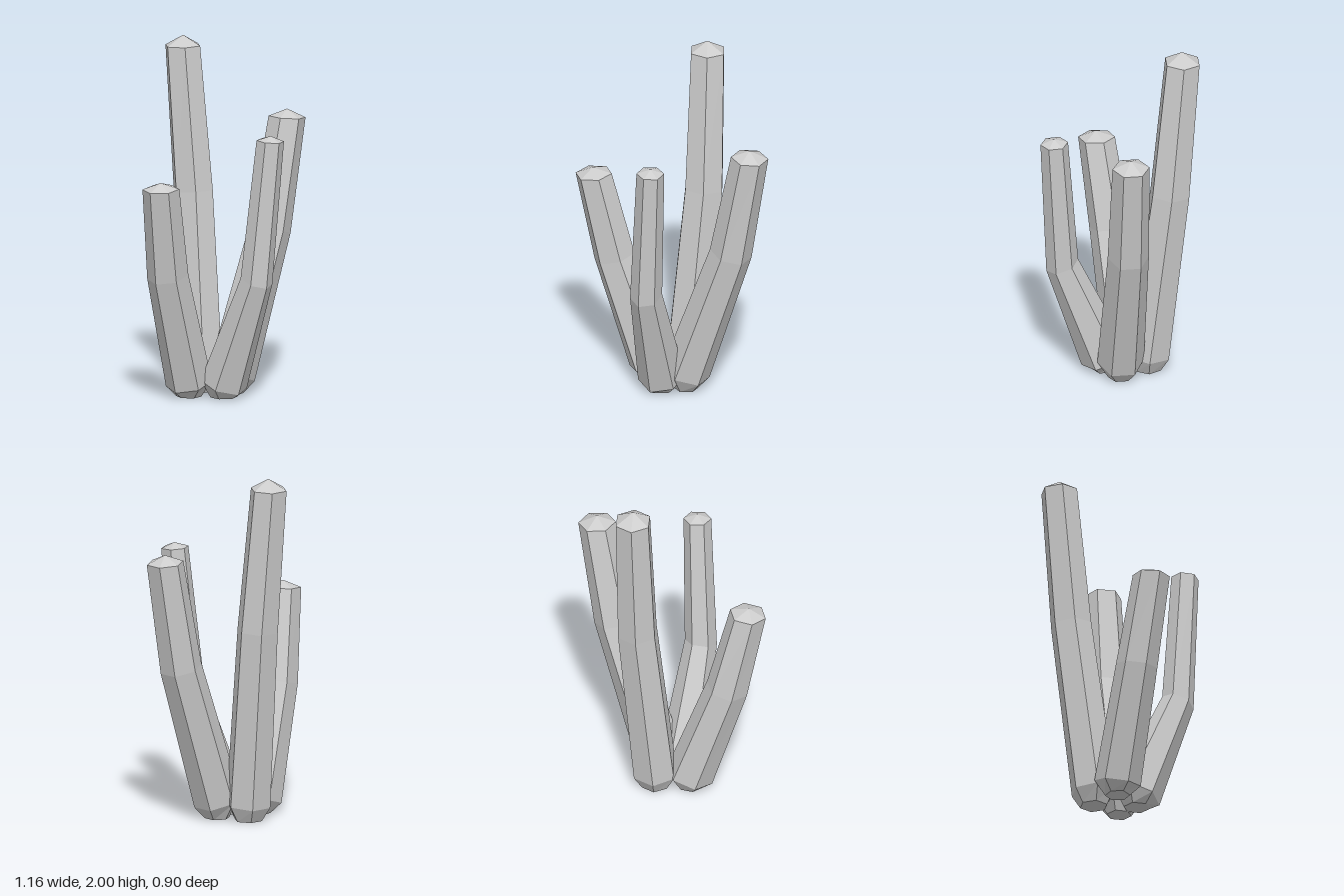
import * as THREE from 'three';

const SIDES = 6;

// Faceted stalk lofted through six-sided rings: [x, y, z, radius, tiltX, tiltZ]
function stalkGeometry(rings, turn) {
  const point = ([x, y, z, r, kx = 0, kz = 0], i) => {
    const a = turn + (i / SIDES) * Math.PI * 2;
    const dx = r * Math.cos(a), dz = r * Math.sin(a);
    return [x + dx, y + kx * dx + kz * dz, z + dz];
  };
  const pos = [];
  for (let k = 0; k < rings.length - 1; k++) {
    const lo = rings[k], hi = rings[k + 1];
    for (let i = 0; i < SIDES; i++) {
      const a = point(lo, i), b = point(lo, i + 1);
      const c = point(hi, i), d = point(hi, i + 1);
      if (lo[3] > 0) pos.push(...a, ...c, ...b);
      if (hi[3] > 0) pos.push(...b, ...c, ...d);
    }
  }
  const g = new THREE.BufferGeometry();
  g.setAttribute('position', new THREE.Float32BufferAttribute(pos, 3));
  g.computeVertexNormals();
  return g;
}

// Rings run from the flat foot, through the swollen base and the bend, to the tip
const stalks = [
  {
    name: 'leftStalk', turn: Math.PI / 2,
    foot: [0.08, 0, 0, 0.07],
    rings: [
      [0.08, 0.1, 0, 0.132, -0.3, 0],
      [0.363, 0.905, -0.006, 0.117, -0.26, 0],
      [0.485, 1.53, -0.005, 0.105, -0.08, 0],
    ],
    tip: [0.485, 1.575, -0.005, 0],
  },
  {
    name: 'tallBackStalk', turn: 0.04,
    foot: [-0.005, 0, -0.165, 0.08],
    rings: [
      [-0.005, 0.09, -0.165, 0.13, 0, 0.1],
      [0.035, 1.12, -0.285, 0.119, 0, 0.09],
      [0.018, 1.94, -0.358, 0.106, 0, 0.03],
    ],
    tip: [0.018, 2, -0.355, 0],
  },
  {
    name: 'rightStalk', turn: -0.27,
    foot: [-0.175, 0, -0.065, 0.07],
    rings: [
      [-0.175, 0.075, -0.065, 0.13, 0.28, -0.09],
      [-0.38, 0.715, 0, 0.116, 0.24, -0.08],
      [-0.48, 1.233, 0.062, 0.104, 0.08, -0.04],
    ],
    tip: [-0.485, 1.27, 0.065, 0],
  },
  {
    name: 'frontStalk', turn: Math.PI / 2,
    foot: [-0.037, 0, 0.075, 0.075],
    rings: [
      [-0.037, 0.073, 0.075, 0.131, -0.04, -0.34],
      [0.001, 0.69, 0.32, 0.09, -0.05, -0.34],
      [0.058, 1.492, 0.373, 0.078, -0.04, -0.05],
    ],
    tip: [0.06, 1.52, 0.375, 0],
  },
];

export function createModel() {
  const model = new THREE.Group();
  model.name = 'stalkCluster';
  const grey = new THREE.MeshStandardMaterial({ color: 0xcccccc, flatShading: true });
  grey.name = 'pale grey';

  for (const { name, turn, foot, rings, tip } of stalks) {
    const underside = [foot[0], 0, foot[2], 0];
    const mesh = new THREE.Mesh(stalkGeometry([underside, foot, ...rings, tip], turn), grey);
    mesh.name = name;
    model.add(mesh);
  }
  return model;
}
